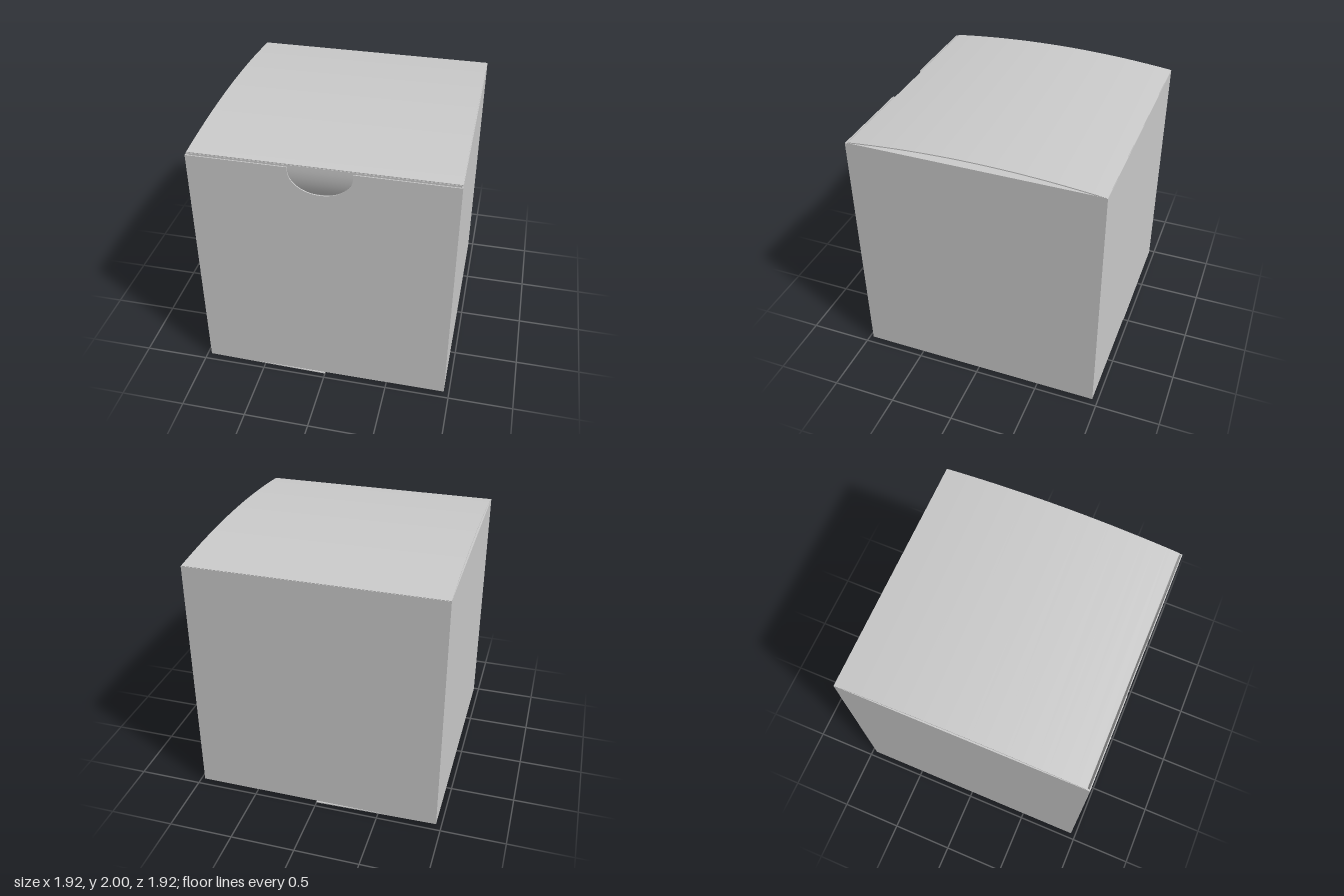
import * as THREE from 'three';
import { toCreasedNormals } from 'three/addons/utils/BufferGeometryUtils.js';

const HALF = 0.96;   // half width of the carton
const T = 0.008;     // board thickness
const BASE = 0.02;   // lower edge of the walls
const RIM = 1.94;    // upper edge of the walls

export function createModel() {
  const carton = new THREE.Group();
  carton.name = 'carton';
  const board = new THREE.MeshStandardMaterial({ color: 0xcccccc, side: THREE.DoubleSide });

  const add = (name, geometry, x = 0, y = 0, z = 0) => {
    const mesh = new THREE.Mesh(geometry, board);
    mesh.name = name;
    mesh.position.set(x, y, z);
    carton.add(mesh);
    return mesh;
  };
  const box = (name, w, h, d, x, y, z) => add(name, new THREE.BoxGeometry(w, h, d), x, y, z);
  const shapeOf = (points) => new THREE.Shape(points.map(([x, y]) => new THREE.Vector2(x, y)));
  const sheet = (shape, depth = T) =>
    new THREE.ExtrudeGeometry(shape, { depth, bevelEnabled: false, curveSegments: 12 });

  // Side and back walls, with the glue tab inside the right-hand corner
  const height = RIM - BASE;
  const midY = (RIM + BASE) / 2;
  for (const [name, side] of [['leftWall', 1], ['rightWall', -1]]) {
    box(name, T, height, 2 * HALF, side * (HALF - T / 2), midY, 0);
  }
  box('backWall', 2 * (HALF - T), height, T, 0, midY, -HALF + T / 2);
  box('glueTab', T, height - 0.03, 0.15, -HALF + 1.5 * T, midY, HALF - T - 0.075);

  // Front wall with the rounded thumb notch in its upper edge
  const w = HALF - T;
  const front = shapeOf([[-w, BASE], [w, BASE], [w, RIM], [0.23, RIM], [0.23, 1.915]]);
  front.absellipse(0, 1.915, 0.23, 0.175, 0, -Math.PI, true);
  front.lineTo(-0.23, RIM);
  front.lineTo(-w, RIM);
  front.closePath();
  add('frontWall', sheet(front), 0, 0, HALF - T);

  // Bowed strip of board: a (z, y) centre line given thickness and swept along x
  const ribbon = (path, halfWidth) => {
    const upper = [], lower = [];
    path.forEach(([z, y], i) => {
      const a = path[Math.max(i - 1, 0)];
      const b = path[Math.min(i + 1, path.length - 1)];
      const dz = b[0] - a[0], dy = b[1] - a[1];
      const k = T / 2 / Math.hypot(dz, dy);
      upper.push([-(z - dy * k), y + dz * k]);
      lower.unshift([-(z + dy * k), y - dz * k]);
    });
    const geometry = sheet(shapeOf([...upper, ...lower]), 2 * halfWidth);
    geometry.translate(0, 0, -halfWidth).rotateY(Math.PI / 2);
    return toCreasedNormals(geometry, 0.5);
  };

  // Lid bowing upward from the back hinge to the front fold
  const lid = [];
  for (let i = 0; i <= 20; i++) {
    const t = i / 20;
    lid.push([-0.957 + 1.89 * t, 1.939 + 0.007 * t + 0.054 * 4 * t * (1 - t)]);
  }
  add('lid', ribbon(lid, HALF - 0.002));

  // Tuck flap hanging from the lid just behind the front wall
  const tuck = [[0.932, 1.944], [0.933, 1.9], [0.929, 1.85], [0.92, 1.8], [0.905, 1.75], [0.885, 1.7]];
  add('tuckFlap', ribbon(tuck, HALF - 0.02));

  // Tapered dust flaps folded in under the lid
  for (const [name, side] of [['leftDustFlap', 1], ['rightDustFlap', -1]]) {
    const flap = shapeOf([
      [side * HALF, -0.94], [side * HALF, 0.94], [side * 0.7, 0.91],
      [side * 0.3, 0.85], [side * 0.3, -0.85], [side * 0.7, -0.91],
    ]);
    add(name, sheet(flap).rotateX(Math.PI / 2), 0, RIM + 0.004, 0);
  }

  // Bottom flaps: the left one is level, the right one sags, leaving a slot between
  box('leftBottomFlap', HALF - 0.245, T, 2 * HALF, (HALF + 0.245) / 2, BASE + T / 2, 0);
  const sag = sheet(shapeOf([[-HALF, BASE], [0, 0], [0, T], [-HALF, BASE + T]]), 2 * HALF);
  add('rightBottomFlap', sag, 0, 0, -HALF);

  return carton;
}
